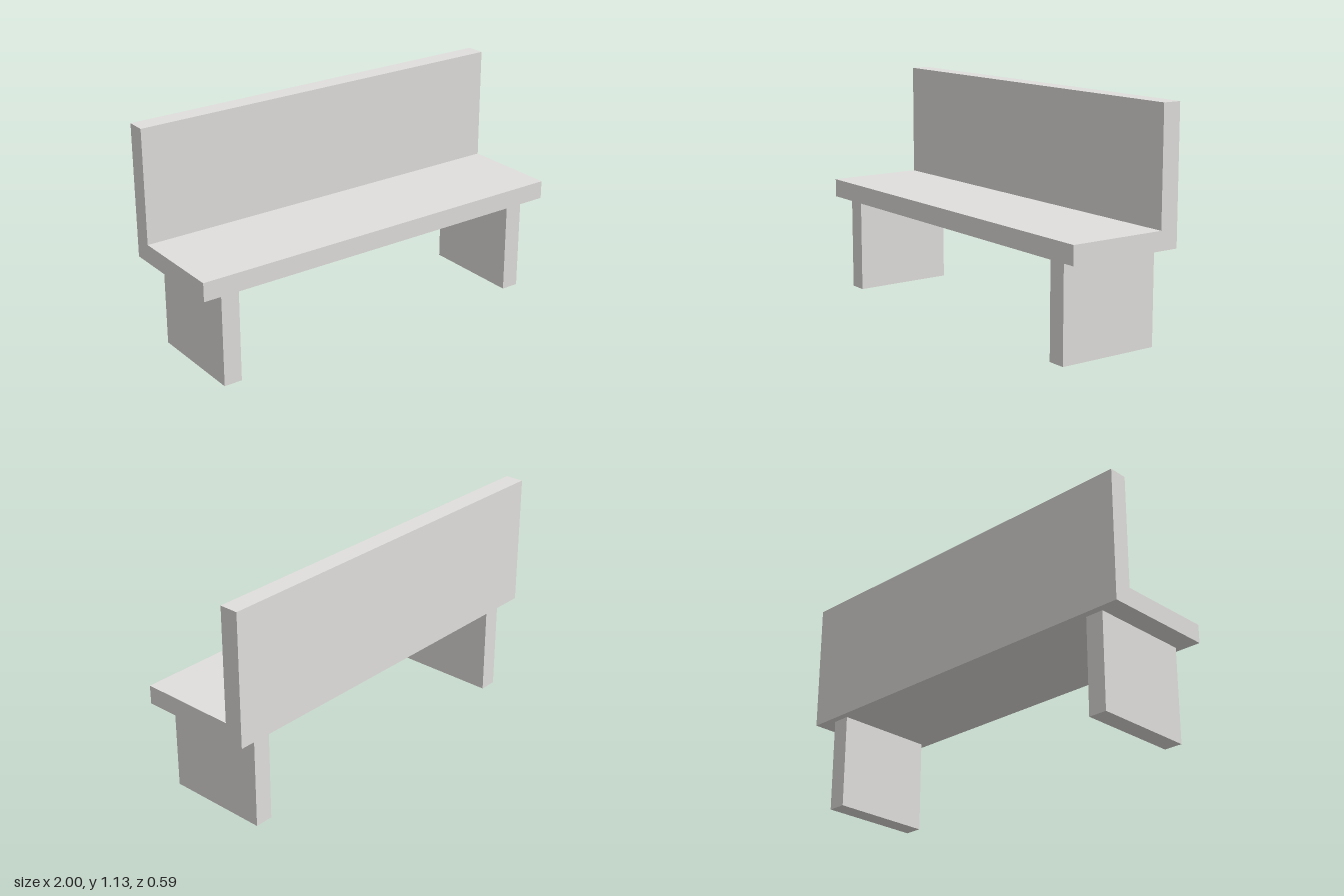
import * as THREE from 'three';

export function createModel() {
  const bench = new THREE.Group();
  bench.name = 'bench';
  const stone = new THREE.MeshStandardMaterial({ color: 0xe0dfdd });
  stone.name = 'pale grey';

  // Seat and backrest: one L-shaped profile (z, y) run along the full width
  const profile = new THREE.Shape([
    [0.294, 0.473], [0.294, 0.565], [-0.2, 0.565],
    [-0.2, 1.13], [-0.294, 1.13], [-0.294, 0.473],
  ].map(([z, y]) => new THREE.Vector2(-z, y)));
  const seatGeometry = new THREE.ExtrudeGeometry(profile, { depth: 2, bevelEnabled: false });
  seatGeometry.translate(0, 0, -1).rotateY(Math.PI / 2);
  const seat = new THREE.Mesh(seatGeometry, stone);
  seat.name = 'seatAndBackrest';
  bench.add(seat);

  // Slab legs, mirrored left and right
  for (const side of [1, -1]) {
    const leg = new THREE.Mesh(new THREE.BoxGeometry(0.092, 0.473, 0.518), stone);
    leg.name = side > 0 ? 'leftLeg' : 'rightLeg';
    leg.position.set(side * 0.846, 0.2365, 0);
    bench.add(leg);
  }
  return bench;
}
